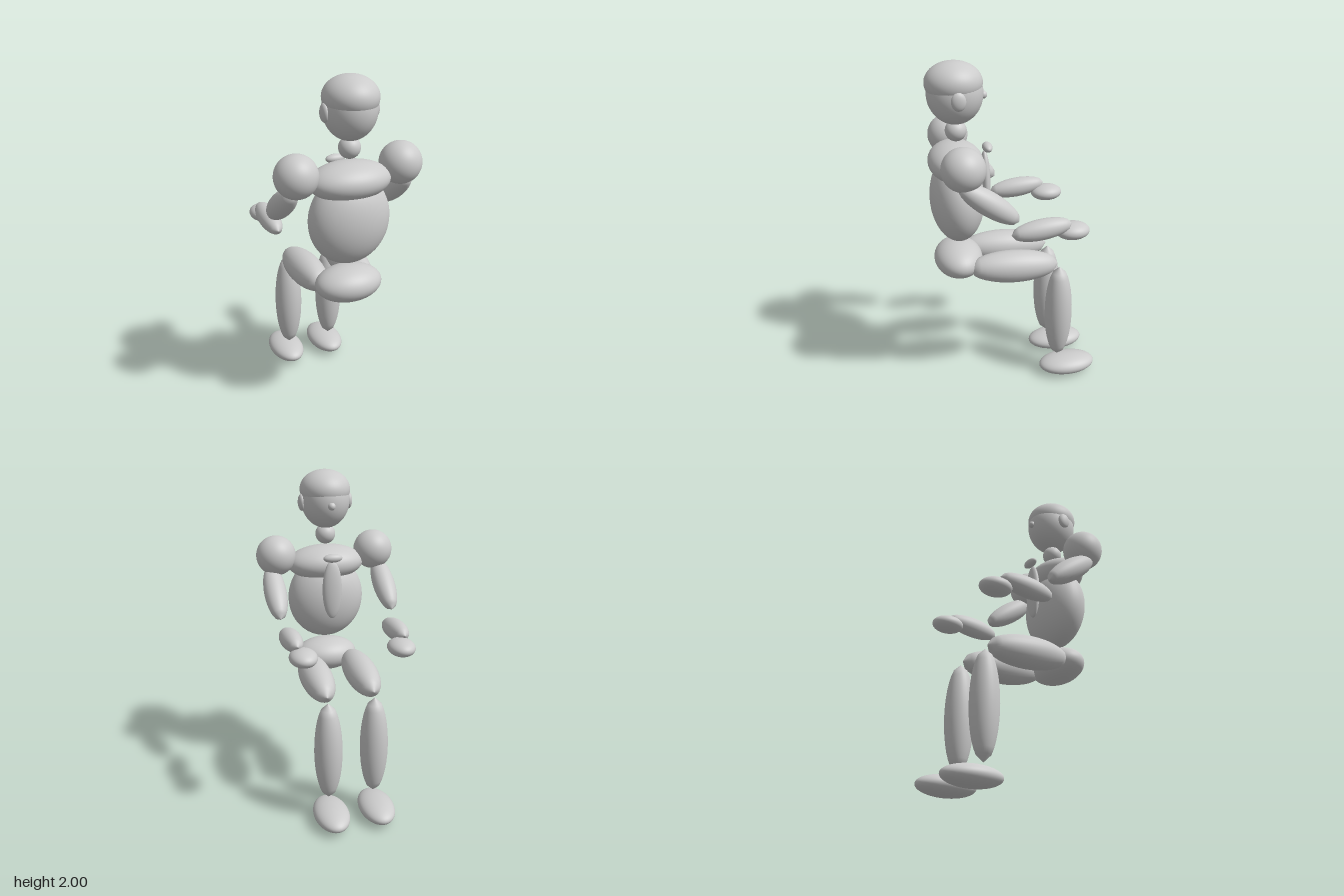
import * as THREE from 'three';

const material = new THREE.MeshStandardMaterial({ color: 0xcccccc });

// Ellipsoid from its centre and three radii
function ellipsoid(name, centre, radii) {
  const geometry = new THREE.SphereGeometry(1, 40, 28);
  geometry.scale(...radii);
  const mesh = new THREE.Mesh(geometry, material);
  mesh.name = name;
  mesh.position.set(...centre);
  return mesh;
}

// Spindle-shaped limb with pointed tips, running from a to b
function limb(name, a, b, radius) {
  const start = new THREE.Vector3(...a);
  const end = new THREE.Vector3(...b);
  const axis = end.clone().sub(start);
  const half = axis.length() / 2;
  const profile = [0, 29, 40, 50, 60, 70, 80, 90, 100, 110, 120, 130, 140, 151, 180].map((deg) => {
    const t = THREE.MathUtils.degToRad(deg);
    return new THREE.Vector2(deg % 180 ? Math.sin(t) * radius : 0, -Math.cos(t) * half);
  });
  const mesh = new THREE.Mesh(new THREE.LatheGeometry(profile, 32), material);
  mesh.name = name;
  mesh.position.copy(start).add(end).multiplyScalar(0.5);
  mesh.quaternion.setFromUnitVectors(new THREE.Vector3(0, 1, 0), axis.normalize());
  return mesh;
}

export function createModel() {
  const model = new THREE.Group();
  model.name = 'seatedFigure';

  // Head, face and neck
  model.add(
    ellipsoid('head', [0, 1.828, 0.325], [0.145, 0.17, 0.155]),
    ellipsoid('hairCap', [0, 1.885, 0.33], [0.149, 0.115, 0.158]),
    ellipsoid('nose', [0, 1.81, 0.17], [0.022, 0.022, 0.022]),
    ellipsoid('neck', [0, 1.62, 0.327], [0.06, 0.06, 0.06]),
  );

  // Trunk, with a collar knot and a long tie on the chest
  model.add(
    ellipsoid('chest', [0, 1.443, 0.335], [0.235, 0.107, 0.155]),
    ellipsoid('torso', [0, 1.222, 0.335], [0.235, 0.257, 0.155]),
    ellipsoid('pelvis', [0, 0.837, 0.34], [0.197, 0.104, 0.142]),
    ellipsoid('collarKnot', [0, 1.51, 0.153], [0.058, 0.026, 0.028]),
    ellipsoid('tie', [0, 1.31, 0.17], [0.06, 0.18, 0.03]),
  );

  // Ears, arms and legs on both sides
  for (const [side, s] of [['left', 1], ['right', -1]]) {
    model.add(
      ellipsoid(side + 'Ear', [s * 0.143, 1.815, 0.325], [0.022, 0.05, 0.04]),
      ellipsoid(side + 'Shoulder', [s * 0.305, 1.503, 0.336], [0.119, 0.119, 0.119]),
      limb(side + 'UpperArm', [s * 0.338, 1.43, 0.37], [s * 0.342, 1.195, 0.048], 0.067),
      limb(side + 'Forearm', [s * 0.317, 1.10, 0.085], [s * 0.311, 1.14, -0.26], 0.06),
      ellipsoid(side + 'Hand', [s * 0.285, 1.082, -0.274], [0.079, 0.049, 0.098]),
      limb(side + 'Thigh', [s * 0.141, 0.825, 0.30], [s * 0.141, 0.797, -0.238], 0.097),
      limb(side + 'Shin', [s * 0.141, 0.77, -0.25], [s * 0.141, 0.138, -0.25], 0.084),
      ellipsoid(side + 'Foot', [s * 0.142, 0.06, -0.315], [0.106, 0.06, 0.178]),
    );
  }
  return model;
}
